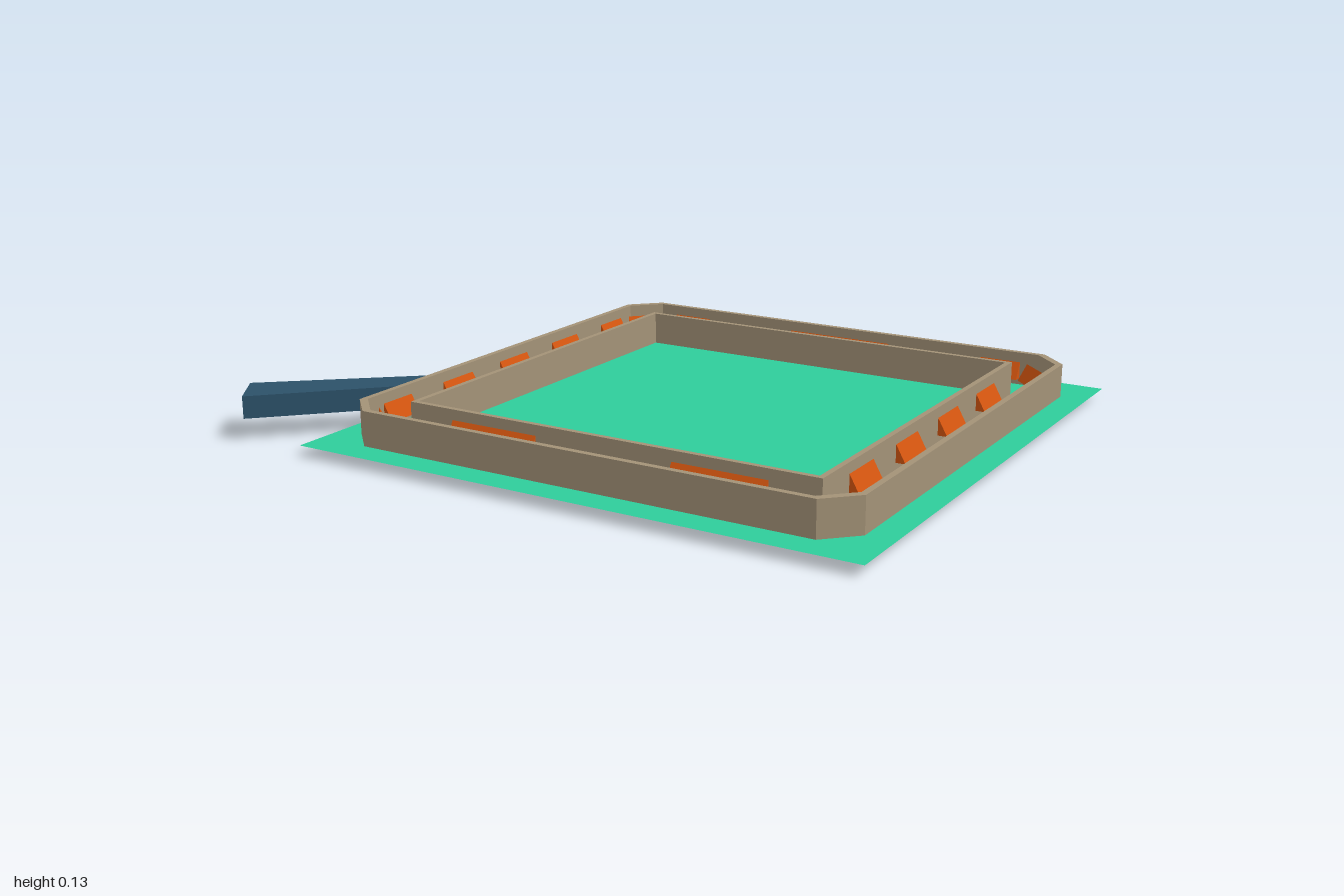
import * as THREE from 'three';

const material = (name, color, side = THREE.FrontSide) => {
  const m = new THREE.MeshStandardMaterial({ color, side });
  m.name = name;
  return m;
};

// Square outline with cut corners at height y, ordered from +x towards +z
function outline(half, cut, y) {
  const points = [];
  for (let k = 0; k < 4; k++) {
    const c = Math.round(Math.cos(k * Math.PI / 2));
    const s = Math.round(Math.sin(k * Math.PI / 2));
    for (const side of [-(half - cut), half - cut]) {
      points.push([half * c - side * s, y, half * s + side * c]);
    }
  }
  return points;
}

// Closed skin through a cycle of outlines, with flat faces
function loftCycle(loops) {
  const pos = [];
  loops.forEach((a, j) => {
    const b = loops[(j + 1) % loops.length];
    for (let i = 0; i < a.length; i++) {
      const n = (i + 1) % a.length;
      pos.push(...a[i], ...a[n], ...b[i], ...a[n], ...b[n], ...b[i]);
    }
  });
  const g = new THREE.BufferGeometry();
  g.setAttribute('position', new THREE.Float32BufferAttribute(pos, 3));
  g.computeVertexNormals();
  return g;
}

// Prism from [x, y] points, centred along z
function prism(points, length) {
  const shape = new THREE.Shape(points.map(([x, y]) => new THREE.Vector2(x, y)));
  return new THREE.ExtrudeGeometry(shape, { depth: length, bevelEnabled: false })
    .translate(0, 0, -length / 2);
}

export function createModel() {
  const tan = material('tan hull', 0xa39277);
  const green = material('green water', 0x2ecc9b, THREE.DoubleSide);
  const orange = material('orange seats', 0xd2540f);
  const blue = material('blue gangway', 0x2c5169);

  const model = new THREE.Group();
  model.name = 'floatingRing';
  const add = (parent, name, geometry, mat) => {
    const mesh = new THREE.Mesh(geometry, mat);
    mesh.name = name;
    parent.add(mesh);
    return mesh;
  };

  // Flat water sheet
  const water = add(model, 'waterSheet', new THREE.PlaneGeometry(1.69, 1.69).rotateX(-Math.PI / 2), green);
  water.position.set(0.155, 0.03, 0);

  // Hollow channel with outer and inner walls and a bevelled keel
  const ring = new THREE.Group();
  ring.name = 'ring';
  ring.position.set(0.15, 0, -0.011);
  model.add(ring);
  add(ring, 'channelHull', loftCycle([
    outline(0.77, 0.085, 0.13),
    outline(0.77, 0.085, 0.03),
    outline(0.74, 0.075, 0),
    outline(0.646, 0, 0),
    outline(0.616, 0, 0.03),
    outline(0.616, 0, 0.13),
    outline(0.632, 0, 0.13),
    outline(0.632, 0, 0.015),
    outline(0.752, 0.08, 0.015),
    outline(0.752, 0.08, 0.13),
  ]), tan);

  // Sloping wedges along the walls: [offset along the wall, length]
  const profile = [[0, 0.05], [0.028, 0.05], [0, 0.1]];
  const wedge = (parent, name, x, z, length, turn) => {
    const w = add(parent, name, prism(profile, length), orange);
    w.position.set(x, 0, z);
    w.rotation.y = turn;
  };
  const sideOuter = [[-0.548, 0.12], [-0.275, 0.139], [0, 0.139], [0.275, 0.139], [0.548, 0.12]];
  const sideInner = [[-0.417, 0.139], [-0.139, 0.139], [0.139, 0.139], [0.417, 0.139]];
  const endOuter = [[-0.55, 0.13], [0, 0.35], [0.55, 0.13]];
  const endInner = [[-0.348, 0.277], [0.348, 0.277]];
  for (let k = 0; k < 4; k++) {
    const side = new THREE.Group();
    side.name = 'wallWedges' + (k + 1);
    side.rotation.y = k * Math.PI / 2;
    ring.add(side);
    for (const [z, len] of k % 2 ? endOuter : sideOuter) wedge(side, 'outerWedge', -0.751, z, len, 0);
    for (const [z, len] of k % 2 ? endInner : sideInner) wedge(side, 'innerWedge', -0.633, z, len, Math.PI);

    const corner = new THREE.Group();
    corner.name = 'cornerWedges' + (k + 1);
    corner.rotation.y = (k + 0.5) * Math.PI / 2;
    ring.add(corner);
    wedge(corner, 'cornerWedge', -0.977, 0, 0.14, 0);
  }

  // Flared gangway meeting the outer wall
  const plan = [[-1, -0.71], [-0.917, -0.825], [-0.618, -0.52], [-0.618, -0.383]];
  const gangway = add(model, 'gangway', prism(plan, 0.065).rotateX(-Math.PI / 2), blue);
  gangway.position.y = 0.0975;

  return model;
}
